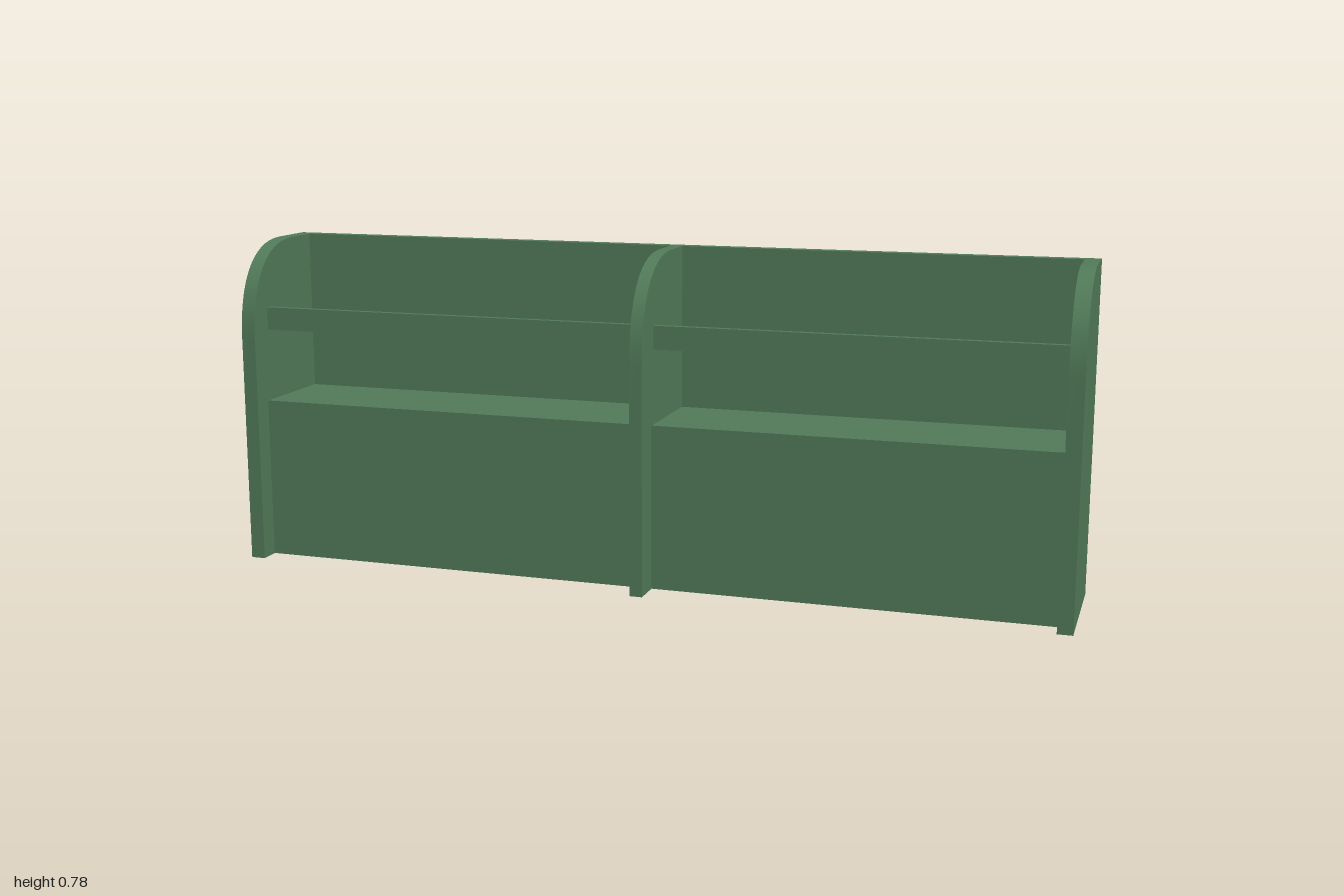
import * as THREE from 'three';
import { toCreasedNormals } from 'three/addons/utils/BufferGeometryUtils.js';

const HEIGHT = 0.78, BACK = -0.17, WALL = -0.14;

export function createModel() {
  const group = new THREE.Group();
  group.name = 'shelfUnit';
  const material = new THREE.MeshStandardMaterial({ color: 0x527c5a });

  function add(name, geometry) {
    const mesh = new THREE.Mesh(geometry, material);
    mesh.name = name;
    group.add(mesh);
  }

  // Box given by its limits on each axis
  function box(name, x0, x1, y0, y1, z0, z1) {
    const geometry = new THREE.BoxGeometry(x1 - x0, y1 - y0, z1 - z0);
    geometry.translate((x0 + x1) / 2, (y0 + y1) / 2, (z0 + z1) / 2);
    add(name, geometry);
  }

  // Upright panel with a rounded top front corner, drawn in (z, y)
  function panel(name, x0, x1, front, curveStart, pull) {
    const shape = new THREE.Shape();
    shape.moveTo(WALL, 0);
    shape.lineTo(front, 0);
    shape.lineTo(front, curveStart);
    shape.bezierCurveTo(front, 0.68, pull, HEIGHT, -0.05, HEIGHT);
    shape.lineTo(WALL, HEIGHT);
    shape.closePath();
    const geometry = new THREE.ExtrudeGeometry(shape, {
      depth: x1 - x0, bevelEnabled: false, curveSegments: 16,
    });
    geometry.rotateY(-Math.PI / 2); // shape x -> +z, depth -> -x
    geometry.translate(x1, 0, 0);
    add(name, toCreasedNormals(geometry, 0.5));
  }

  // Back board and uprights
  box('backBoard', -1, 1, 0, HEIGHT, BACK, WALL);
  panel('rightSidePanel', -1, -0.965, 0.148, 0.55, 0.09);
  panel('leftSidePanel', 0.965, 1, 0.148, 0.55, 0.09);
  panel('centreDivider', 0, 0.03, 0.17, 0.53, 0.105);

  // Each bay holds a solid base and a thin shelf with a raised front lip
  for (const [side, x0, x1] of [['right', -0.965, 0], ['left', 0.03, 0.965]]) {
    box(side + 'Base', x0, x1, 0, 0.39, WALL, 0.098);
    box(side + 'Shelf', x0, x1, 0.565, 0.581, WALL, 0.068);
    box(side + 'ShelfLip', x0, x1, 0.565, 0.62, 0.068, 0.084);
  }
  return group;
}
